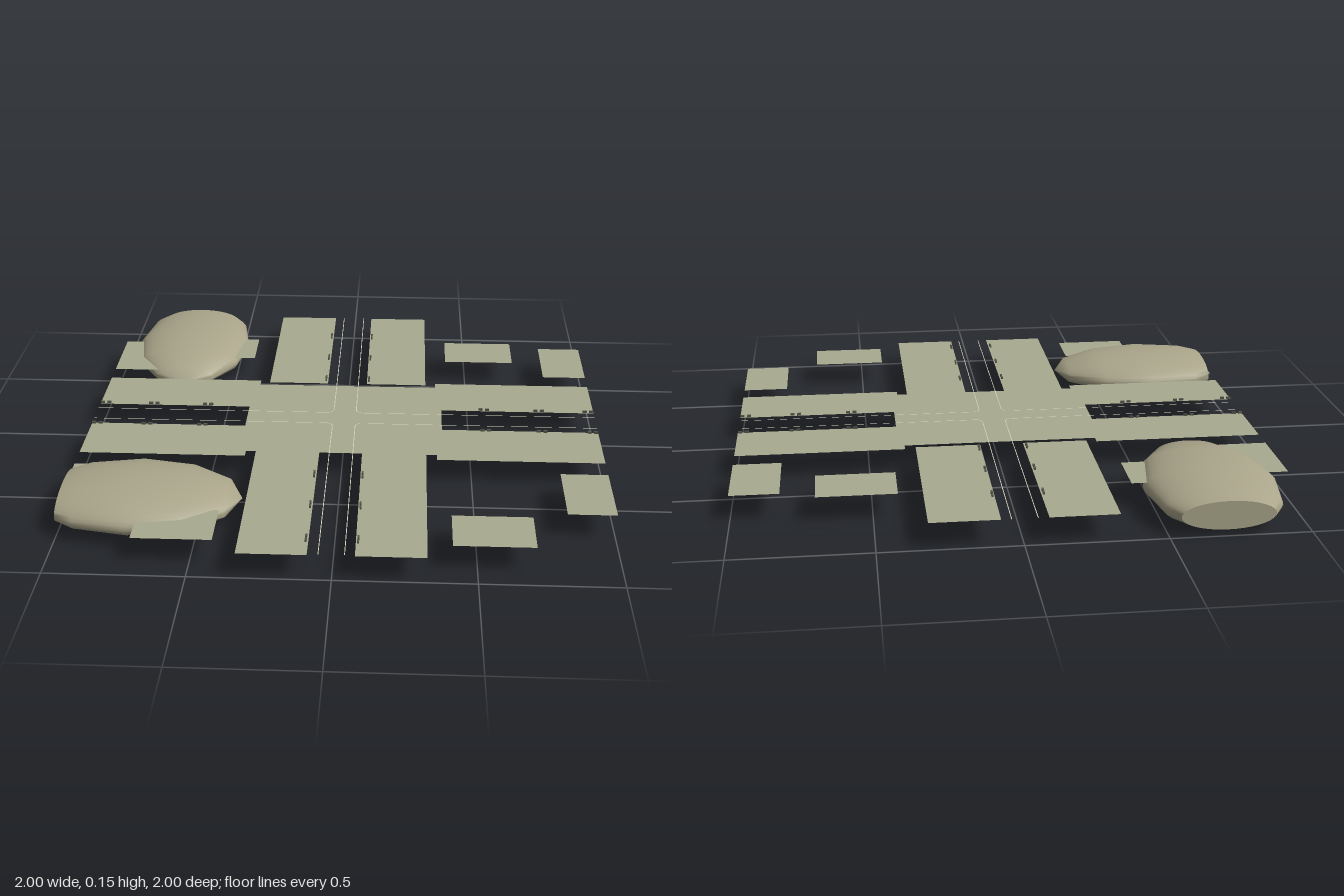
import * as THREE from 'three';
import { toCreasedNormals } from 'three/addons/utils/BufferGeometryUtils.js';

const LEVEL = 0.105; // height of the paved plane
const paint = (color) => new THREE.MeshStandardMaterial({ color, side: THREE.DoubleSide });
const paving = paint(0xa8aa8f);
const earth = paint(0xaaa58a);
const pale = paint(0xd2d2bc);
const dark = paint(0x55564a);

function add(parent, geometry, material, name) {
  const mesh = new THREE.Mesh(geometry, material);
  mesh.name = name;
  parent.add(mesh);
  return mesh;
}

function group(parent, name) {
  const g = new THREE.Group();
  g.name = name;
  parent.add(g);
  return g;
}

// Flat sheet lying at the paved level
function slab(parent, name, x0, x1, z0, z1) {
  const g = new THREE.PlaneGeometry(x1 - x0, z1 - z0).rotateX(-Math.PI / 2);
  g.translate((x0 + x1) / 2, LEVEL, (z0 + z1) / 2);
  return add(parent, g, paving, name);
}

// Squashed ball with a twelve-sided outline, tip at +x, cut flat at the other end
function moundGeometry() {
  const length = 0.39, width = 0.242, height = 0.077, cut = -0.265;
  const corner = (deg) => new THREE.Vector2(
    width * Math.sin(THREE.MathUtils.degToRad(deg)),
    length * Math.cos(THREE.MathUtils.degToRad(deg)));
  const beyond = corner(150), before = corner(120);
  const rim = before.clone().lerp(beyond, (before.y - cut) / (before.y - beyond.y));
  const profile = [new THREE.Vector2(0, cut), rim];
  for (let deg = 120; deg >= 0; deg -= 30) profile.push(corner(deg));
  const g = new THREE.LatheGeometry(profile, 36).rotateZ(-Math.PI / 2);
  return toCreasedNormals(g.scale(1, height / width, 1), 0.95);
}

// Thin line: two straights joined by a rounded corner, as a flat ribbon
function laneLineGeometry(turn) {
  const r = 0.03, w = 0.0015, o = 0.045;
  const a = o - w, b = o + w;
  const shape = new THREE.Shape();
  shape.moveTo(1, a);
  shape.lineTo(o + r, a);
  shape.quadraticCurveTo(a, a, a, o + r);
  shape.lineTo(a, 1);
  shape.lineTo(b, 1);
  shape.lineTo(b, o + r);
  shape.quadraticCurveTo(b, b, o + r, b);
  shape.lineTo(1, b);
  const g = new THREE.ShapeGeometry(shape, 8).rotateX(-Math.PI / 2);
  return g.rotateY(turn).translate(0, LEVEL + 0.001, -0.004);
}

export function createModel() {
  const model = new THREE.Group();
  model.name = 'crossroads';

  // Crossing in the middle
  const crossing = group(model, 'crossing');
  slab(crossing, 'crossingCentre', -0.365, 0.365, -0.293, 0.285);
  slab(crossing, 'crossingRightEdge', -0.39, -0.365, -0.088, 0.078);
  slab(crossing, 'crossingLeftEdge', 0.365, 0.388, -0.088, 0.078);

  // Pavements on both sides of the four arms
  const pavements = group(model, 'pavements');
  for (const [z0, z1] of [[-0.33, -0.088], [0.078, 0.322]]) {
    slab(pavements, 'rightPavement', -1, -0.365, z0, z1);
    slab(pavements, 'leftPavement', 0.365, 1, z0, z1);
  }
  for (const [x0, x1] of [[-0.327, -0.083], [0.08, 0.325]]) {
    slab(pavements, 'backPavement', x0, x1, -1, -0.315);
    slab(pavements, 'frontPavement', x0, x1, 0.285, 1);
  }

  // Separate plots, two in each corner
  const plots = group(model, 'plots');
  const columns = [[[-0.7, -0.415], [-1, -0.82]], [[0.412, 0.7], [0.823, 1]]];
  for (const [inner, outer] of columns) {
    slab(plots, 'innerBackPlot', ...inner, -0.745, -0.55);
    slab(plots, 'innerFrontPlot', ...inner, 0.722, 0.92);
    slab(plots, 'outerBackPlot', ...outer, -0.7, -0.415);
    slab(plots, 'outerFrontPlot', ...outer, 0.41, 0.697);
  }

  // Lane lines along the arms, rounded at the junction
  for (let i = 0; i < 4; i++)
    add(model, laneLineGeometry(i * Math.PI / 2), pale, 'laneLine');

  // Small paired blocks along the kerbs
  const blocks = group(model, 'kerbBlocks');
  const blockPair = (x, z, turn) => {
    const pair = group(blocks, 'kerbBlockPair');
    for (const d of [-0.013, 0.013])
      add(pair, new THREE.BoxGeometry(0.016, 0.008, 0.007), dark, 'kerbBlock').position.x = d;
    pair.position.set(x, LEVEL + 0.005, z);
    pair.rotation.y = turn;
  };
  for (const x of [-0.092, 0.088])
    for (const z of [-0.79, -0.565, -0.355, 0.455, 0.675, 0.9]) blockPair(x, z, Math.PI / 2);
  for (const z of [-0.094, 0.084])
    for (const x of [-0.978, -0.78, -0.56, 0.56, 0.78, 0.978]) blockPair(x, z, 0);

  // Two flattened mounds, cut at the right border and at the back border
  const mound = moundGeometry();
  add(model, mound, earth, 'frontMound').position.set(-0.735, 0.082, 0.598);
  const back = add(model, mound, earth, 'backMound');
  back.position.set(-0.702, 0.082, -0.735);
  back.rotation.y = -Math.PI / 2;

  return model;
}
